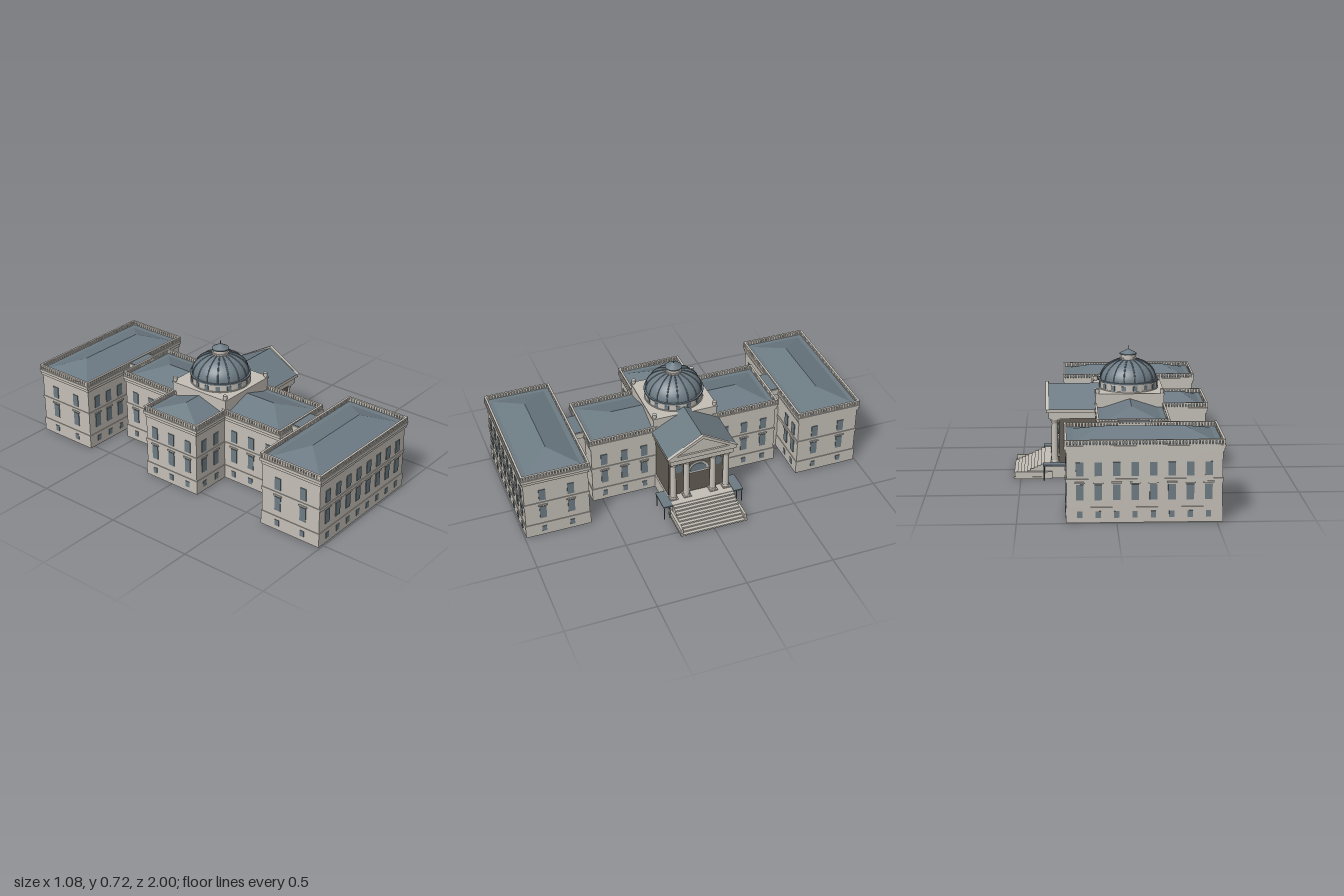
import * as THREE from 'three';
import { mergeGeometries } from 'three/addons/utils/BufferGeometryUtils.js';
import { ConvexGeometry } from 'three/addons/geometries/ConvexGeometry.js';

const mat = (name, color) => {
  const m = new THREE.MeshStandardMaterial({ color });
  m.name = name;
  return m;
};

export function createModel() {
  const stone = mat('stone', 0xc5c0b8), slate = mat('slate', 0x6d7b84);
  const glass = mat('glass', 0x6e7d85), dark = mat('darkRecess', 0x645e56);
  const model = new THREE.Group();
  model.name = 'domedBuilding';

  const add = (parent, name, material, geos) => {
    const list = Array.isArray(geos) ? geos : [geos];
    const mesh = new THREE.Mesh(list.length > 1 ? mergeGeometries(list) : list[0], material);
    mesh.name = name;
    parent.add(mesh);
    return mesh;
  };
  const group = (name) => {
    const g = new THREE.Group();
    g.name = name;
    model.add(g);
    return g;
  };
  // box given by its two extremes on each axis
  const box = (x0, x1, y0, y1, z0, z1) =>
    new THREE.BoxGeometry(x1 - x0, y1 - y0, z1 - z0).translate((x0 + x1) / 2, (y0 + y1) / 2, (z0 + z1) / 2);
  const cyl = (r0, r1, y0, y1, x, z, n = 24) =>
    new THREE.CylinderGeometry(r1, r0, y1 - y0, n).translate(x, (y0 + y1) / 2, z);
  const hull = (pts) => new ConvexGeometry(pts.map((p) => new THREE.Vector3(...p)));
  // plate standing on a wall face: side is 'x+', 'x-', 'z+' or 'z-'; negative t goes inward
  const plate = (side, at, u, y0, y1, w, t) => {
    const b = side[1] === '+' ? at + t : at - t, a0 = Math.min(at, b), a1 = Math.max(at, b);
    return side[0] === 'x' ? box(a0, a1, y0, y1, u - w / 2, u + w / 2) : box(u - w / 2, u + w / 2, y0, y1, a0, a1);
  };
  const spanOf = (s) => (a, b) => (s > 0 ? [a, b] : [-b, -a]);

  // one hollow rectangular block with mouldings, windows, balustrade and roof
  function block(name, x0, x1, z0, z1, sides, roof) {
    const g = group(name);
    const walls = [], bands = [], panes = [], lintels = [], rails = [];
    for (const [side, us] of Object.entries(sides)) {
      const along = side[0] === 'x';
      const at = { 'x+': x1, 'x-': x0, 'z+': z1, 'z-': z0 }[side];
      const s = side[1] === '+' ? 1 : -1;
      const mid = along ? (z0 + z1) / 2 : (x0 + x1) / 2;
      const len = along ? z1 - z0 : x1 - x0;
      walls.push(plate(side, at, mid, 0, 0.4, len, -0.002));
      for (const [y0, y1, e] of [[0, 0.08, 0.004], [0.208, 0.226, 0.004], [0.362, 0.38, 0.006], [0.38, 0.397, 0.012]])
        bands.push(plate(side, at, mid, y0, y1, len + 2 * e, e));
      for (const u of us) {
        panes.push(plate(side, at + s * 0.004, u, 0.026, 0.06, 0.026, 0.003));
        panes.push(plate(side, at, u, 0.117, 0.197, 0.038, 0.004));
        panes.push(plate(side, at, u, 0.241, 0.311, 0.038, 0.004));
        lintels.push(plate(side, at, u, 0.203, 0.212, 0.052, 0.008));
      }
      // balustrade
      const full = len + 0.02, edge = at - s * 0.002;
      rails.push(plate(side, edge, mid, 0.395, 0.402, full, 0.01));
      rails.push(plate(side, edge, mid, 0.42, 0.426, full, 0.012));
      const n = Math.round(full / 0.0165);
      for (let i = 0; i <= n; i++)
        rails.push(plate(side, edge, mid + (full - 0.01) * (i / n - 0.5), 0.4, 0.421, 0.0115, 0.009));
    }
    add(g, 'walls', stone, walls);
    add(g, 'mouldings', stone, bands);
    if (panes.length) add(g, 'windows', glass, panes);
    if (lintels.length) add(g, 'lintels', stone, lintels);
    add(g, 'balustrade', stone, rails);
    add(g, 'gutter', slate, box(x0 - 0.004, x1 + 0.004, 0.396, 0.402, z0 - 0.004, z1 + 0.004));
    add(g, 'hipRoof', slate, hull(roof));
  }

  const base = 0.4, peak = 0.452, cx = -0.105;
  const eight = Array.from({ length: 8 }, (_, i) => -0.137 + (i - 3.5) * 0.0917);
  const inner = eight.filter((x) => x < -0.215 || x > 0.005);
  for (const s of [1, -1]) {
    const out = s > 0 ? 'z+' : 'z-', inn = s > 0 ? 'z-' : 'z+';
    const span = spanOf(s);
    const label = s > 0 ? 'front' : 'back';
    // end wings
    block(label + 'Wing', -0.527, 0.25, ...span(0.624, 0.988),
      { [out]: eight, [inn]: inner, 'x+': [0.886 * s, 0.726 * s], 'x-': [0.886 * s, 0.726 * s] },
      [[-0.505, base, 0.65 * s], [0.222, base, 0.65 * s], [0.222, base, 0.965 * s], [-0.505, base, 0.965 * s],
        [-0.347, peak, 0.807 * s], [0.075, peak, 0.807 * s]]);
    // middle blocks, open toward the centre
    const three = [0.245, 0.362, 0.48].map((z) => z * s);
    block(label + 'MiddleBlock', -0.288, 0.078, ...span(0.175, 0.553),
      { 'x+': three, 'x-': three, [out]: [] },
      [[-0.265, base, 0.17 * s], [0.055, base, 0.17 * s], [0.055, base, 0.53 * s], [-0.265, base, 0.53 * s],
        [cx, peak, 0.17 * s], [cx, peak, 0.375 * s]]);
    // narrow links between blocks and wings
    const g = group(label + 'Link');
    add(g, 'linkWalls', stone, [box(-0.18, -0.178, 0, 0.4, ...span(0.55, 0.626)),
      box(-0.032, -0.03, 0, 0.4, ...span(0.55, 0.626)), box(-0.19, -0.02, 0.38, 0.415, ...span(0.553, 0.624))]);
    add(g, 'linkRoof', slate, box(-0.184, -0.026, 0.41, 0.418, ...span(0.555, 0.622)));
  }
  // rear block
  block('rearBlock', -0.527, -0.288, -0.178, 0.178,
    { 'x-': [-0.117, 0, 0.117], 'z+': [-0.465, -0.365], 'z-': [-0.465, -0.365] },
    [[-0.505, base, -0.16], [-0.505, base, 0.16], [-0.28, base, 0.16], [-0.28, base, -0.16],
      [-0.4, peak, 0], [-0.28, peak, 0]]);

  // square platform under the dome
  const tower = group('domeTower');
  add(tower, 'platform', stone, [box(cx - 0.188, cx + 0.188, 0.4, 0.472, -0.188, 0.188),
    box(cx - 0.192, cx + 0.192, 0.472, 0.48, -0.192, 0.192)]);
  add(tower, 'ceiling', slate, box(cx - 0.187, cx + 0.187, 0.394, 0.4, -0.187, 0.187));
  const corners = [];
  for (const a of [-1, 1]) for (const b of [-1, 1]) {
    corners.push(cyl(0.009, 0.009, 0.48, 0.488, cx + a * 0.178, b * 0.178, 12));
    corners.push(cyl(0.012, 0.012, 0.487, 0.505, cx + a * 0.178, b * 0.178, 12));
  }
  add(tower, 'cornerUrns', stone, corners);
  // drum with windows
  add(tower, 'drum', stone, [cyl(0.164, 0.164, 0.48, 0.522, cx, 0, 48), cyl(0.169, 0.169, 0.48, 0.484, cx, 0, 48)]);
  add(tower, 'drumRing', slate, cyl(0.169, 0.169, 0.521, 0.53, cx, 0, 48));
  const panes = [], ribs = [], N = 16;
  const arc = (t) => [0.159 * Math.cos(t), 0.528 + 0.116 * Math.sin(t)];
  const tEnd = Math.acos(0.042 / 0.159);
  const ribLine = new THREE.CatmullRomCurve3(Array.from({ length: 9 }, (_, i) => {
    const [r, y] = arc(tEnd * i / 8);
    return new THREE.Vector3(r, y, 0);
  }));
  for (let i = 0; i < N; i++) {
    const a = (i + 0.5) * Math.PI * 2 / N;
    panes.push(new THREE.BoxGeometry(0.005, 0.026, 0.024).translate(0.163, 0.5, 0).rotateY(a).translate(cx, 0, 0));
    ribs.push(new THREE.TubeGeometry(ribLine, 16, 0.0035, 6).rotateY(a).translate(cx, 0, 0));
  }
  add(tower, 'drumWindows', glass, panes);
  add(tower, 'domeRibs', slate, ribs);
  const profile = Array.from({ length: 17 }, (_, i) => new THREE.Vector2(...arc(Math.PI / 2 * i / 16)));
  profile[16].x = 0;
  add(tower, 'dome', slate, new THREE.LatheGeometry(profile, 48).translate(cx, 0, 0));
  // lantern
  add(tower, 'lantern', stone, [cyl(0.046, 0.046, 0.638, 0.648, cx, 0), cyl(0.04, 0.04, 0.645, 0.668, cx, 0)]);
  add(tower, 'lanternCap', slate, [cyl(0.048, 0.048, 0.667, 0.673, cx, 0), cyl(0.048, 0.005, 0.673, 0.696, cx, 0)]);
  add(tower, 'finial', slate, cyl(0.002, 0.0015, 0.694, 0.718, cx, 0, 8));

  // portico
  const porch = group('portico');
  add(porch, 'porchFloor', stone, box(0.078, 0.37, 0.082, 0.085, -0.183, 0.183));
  add(porch, 'floorUnderside', dark, box(0.078, 0.37, 0.079, 0.082, -0.181, 0.181));
  add(porch, 'porchBase', stone, [1, -1].map((s) => box(0.078, 0.37, 0, 0.082, ...spanOf(s)(0.181, 0.183))));
  add(porch, 'recessedWall', dark, [box(0.284, 0.286, 0.085, 0.342, -0.175, 0.175),
    ...[1, -1].map((s) => box(0.078, 0.285, 0.085, 0.342, ...spanOf(s)(0.173, 0.175)))]);
  add(porch, 'entablature', stone, [box(0.078, 0.344, 0.34, 0.377, -0.185, 0.185),
    box(0.078, 0.356, 0.376, 0.397, -0.198, 0.198)]);
  add(porch, 'gableRoof', slate, hull([0.05, 0.345].flatMap((x) => [[x, 0.396, -0.2], [x, 0.396, 0.2], [x, 0.503, 0]])));
  const tri = (w, y0, y1) => [[-w, y0], [w, y0], [0, y1]].map((p) => new THREE.Vector2(...p));
  const rake = new THREE.Shape(tri(0.205, 0.395, 0.514));
  rake.holes.push(new THREE.Path(tri(0.155, 0.407, 0.493)));
  const slab = (shape, x, depth) =>
    new THREE.ExtrudeGeometry(shape, { depth, bevelEnabled: false, curveSegments: 20 }).rotateY(Math.PI / 2).translate(x, 0, 0);
  add(porch, 'pediment', stone, [slab(rake, 0.342, 0.018), slab(new THREE.Shape(tri(0.19, 0.397, 0.505)), 0.342, 0.008)]);
  // columns
  const cols = [], px = 0.31;
  for (const z of [-0.157, -0.078, 0.078, 0.157]) {
    cols.push(box(px - 0.024, px + 0.024, 0.085, 0.092, z - 0.023, z + 0.023), cyl(0.022, 0.02, 0.092, 0.102, px, z),
      cyl(0.0185, 0.016, 0.1, 0.314, px, z), cyl(0.017, 0.025, 0.31, 0.332, px, z),
      box(px - 0.026, px + 0.026, 0.332, 0.341, z - 0.025, z + 0.025));
  }
  add(porch, 'columns', stone, cols);
  // arched fanlight and round windows
  const half = (r) => {
    const s = new THREE.Shape();
    s.absarc(0, 0.225, r, 0, Math.PI, false);
    return s;
  };
  add(porch, 'archFrame', stone, slab(half(0.062), 0.285, 0.004));
  add(porch, 'fanlight', glass, slab(half(0.05), 0.285, 0.007));
  add(porch, 'doorLintel', stone, box(0.284, 0.292, 0.215, 0.226, -0.064, 0.064));
  add(porch, 'roundWindows', glass, [-0.117, 0.117].map((z) =>
    new THREE.CylinderGeometry(0.022, 0.022, 0.006, 20).rotateZ(Math.PI / 2).scale(1, 1.3, 1).translate(0.288, 0.265, z)));
  // hollow flight of front steps: a tread and a riser each
  const steps = [], count = 9, run = 0.17 / count, rise = 0.082 / count;
  for (let i = 0; i < count; i++) {
    const x = 0.54 - i * run, y = (i + 1) * rise;
    steps.push(box(x - run, x, y - 0.002, y, -0.18, 0.18), box(x - 0.002, x, y - rise, y, -0.18, 0.18));
    // closed ends of the flight
    for (const s of [1, -1]) steps.push(box(0.37, x, y - rise, y, ...spanOf(s)(0.178, 0.18)));
  }
  add(porch, 'steps', stone, steps);
  for (const s of [-1, 1]) {
    const span = spanOf(s);
    add(porch, 'stepWall', stone, [box(0.325, 0.53, 0, 0.04, ...span(0.18, 0.194)),
      box(0.33, 0.54, 0, 0.012, ...span(0.18, 0.196))]);
    // side landing on thin posts
    add(porch, 'sideLanding', slate, box(0.24, 0.376, 0.083, 0.09, ...span(0.182, 0.238)));
    add(porch, 'landingPosts', slate, [[0.246, 0.232], [0.37, 0.232], [0.37, 0.2], [0.246, 0.2]].map(([x, z]) =>
      cyl(0.003, 0.003, 0, 0.084, x, z * s, 8)));
  }
  return model;
}
